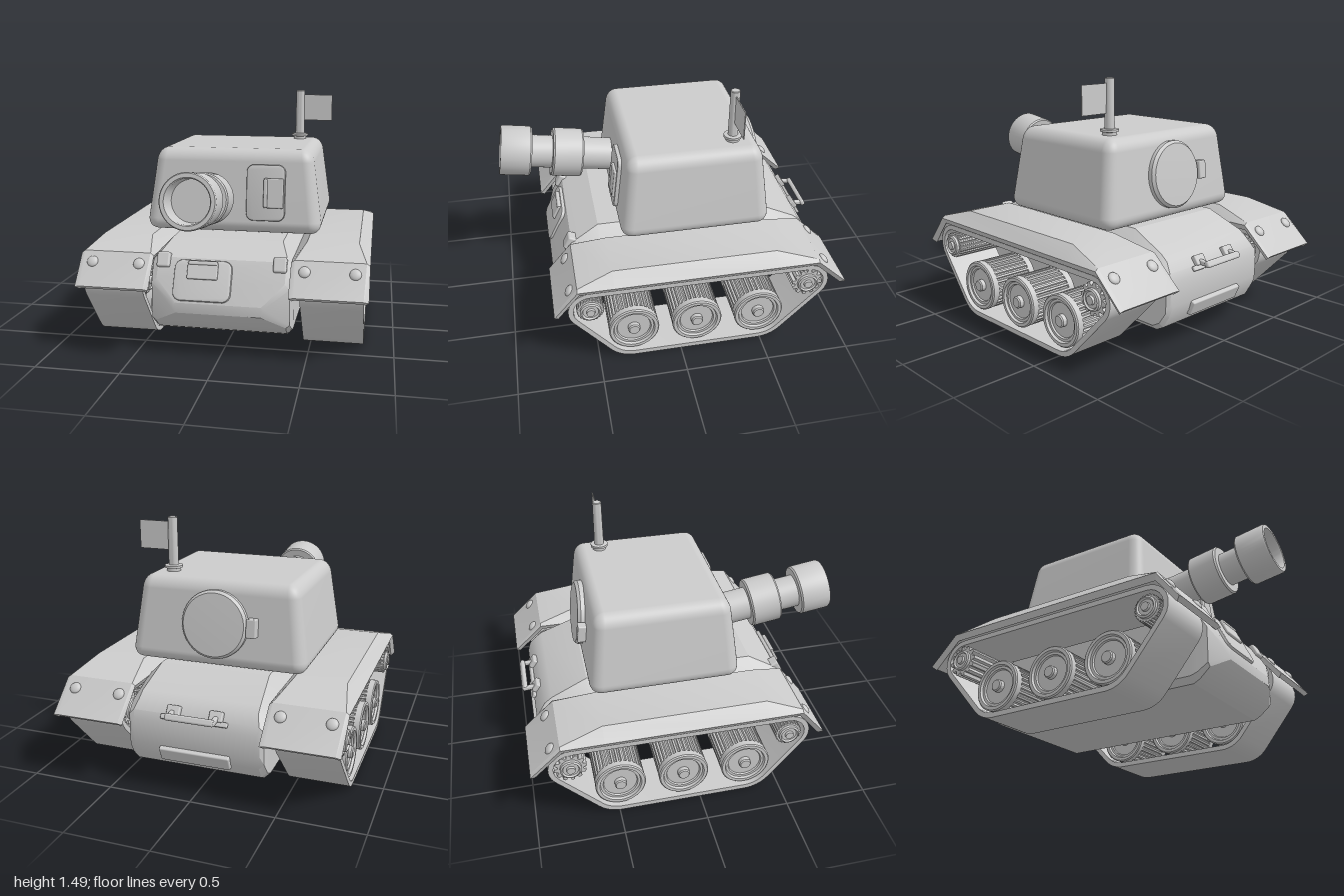
import * as THREE from 'three';
import { toCreasedNormals, mergeVertices } from 'three/addons/utils/BufferGeometryUtils.js';
import { RoundedBoxGeometry } from 'three/addons/geometries/RoundedBoxGeometry.js';

const grey = new THREE.MeshStandardMaterial({ color: 0xcccccc });
const thin = new THREE.MeshStandardMaterial({ color: 0xcccccc, side: THREE.DoubleSide });
const V2 = (x, y) => new THREE.Vector2(x, y);

function add(parent, name, geo, pos = [0, 0, 0], rot = [0, 0, 0], mat = grey) {
  const m = new THREE.Mesh(geo, mat);
  m.name = name;
  m.position.set(...pos);
  m.rotation.set(...rot);
  parent.add(m);
  return m;
}
const box = (w, h, d, r = 0.008) => new RoundedBoxGeometry(w, h, d, 2, r);
const lathe = (pts, n = 40) => toCreasedNormals(new THREE.LatheGeometry(pts.map(p => V2(...p)), n), 0.6);

// Skin over rings of eight corners, listed from front to back, with closed ends
function loft(rings) {
  const pos = rings.flat(2), idx = [], last = (rings.length - 1) * 8;
  for (let k = 0; k < rings.length - 1; k++) {
    for (let i = 0; i < 8; i++) {
      const a = k * 8 + i, b = k * 8 + (i + 1) % 8;
      idx.push(a, a + 8, b, b, a + 8, b + 8);
    }
  }
  for (let i = 0; i < 3; i++) {
    const [a, b, c, d] = [i, i + 1, 6 - i, 7 - i];
    idx.push(a, b, c, a, c, d);
    idx.push(last + a, last + c, last + b, last + a, last + d, last + c);
  }
  const g = new THREE.BufferGeometry();
  g.setAttribute('position', new THREE.Float32BufferAttribute(pos, 3));
  g.setIndex(idx);
  return toCreasedNormals(g, 0.4);
}

// Extrude a side-on (z, y) shape across x, centred on x = 0
function across(shape, width) {
  const g = new THREE.ExtrudeGeometry(shape, { depth: width, bevelEnabled: false });
  g.translate(0, 0, -width / 2);
  g.rotateY(-Math.PI / 2);
  return toCreasedNormals(g, 0.5);
}

function gearShape(teeth, r1, r2) {
  const pts = [];
  for (let i = 0; i < teeth; i++) {
    [[0, r1], [0.4, r1], [0.55, r2], [0.85, r2]].forEach(([f, r]) => {
      const a = (i + f) / teeth * Math.PI * 2;
      pts.push(V2(r * Math.cos(a), r * Math.sin(a)));
    });
  }
  return new THREE.Shape(pts);
}

// Rounded plate with a bevelled edge, lying in xy and facing +z
function plate(w, h, d, r) {
  const s = new THREE.Shape(), x = w / 2 - 0.01, y = h / 2 - 0.01;
  s.absarc(x - r, y - r, r, 0, Math.PI / 2);
  s.absarc(-x + r, y - r, r, Math.PI / 2, Math.PI);
  s.absarc(-x + r, -y + r, r, Math.PI, Math.PI * 1.5);
  s.absarc(x - r, -y + r, r, Math.PI * 1.5, Math.PI * 2);
  return toCreasedNormals(new THREE.ExtrudeGeometry(s, {
    depth: d, bevelSize: 0.01, bevelThickness: 0.01, bevelSegments: 2, curveSegments: 6 }), 0.5);
}

// Closed belt line around four circles [z, y, radius]
const circles = [[-0.485, 0.19, 0.19], [0.285, 0.19, 0.19], [0.54, 0.405, 0.13], [-0.77, 0.405, 0.13]];
function beltLine(inset) {
  const n = circles.map((c, i) => {
    const e = circles[(i + 1) % 4], dz = e[0] - c[0], dy = e[1] - c[1];
    return Math.atan2(dy, dz) - Math.acos((c[2] - e[2]) / Math.hypot(dz, dy));
  });
  return circles.flatMap(([z, y, r], i) => {
    const a0 = n[(i + 3) % 4];
    let a1 = n[i];
    while (a1 < a0) a1 += Math.PI * 2;
    while (a1 - a0 > Math.PI * 2) a1 -= Math.PI * 2;
    return Array.from({ length: 9 }, (_, k) => {
      const a = a0 + (a1 - a0) * k / 8;
      return V2(z + (r - inset) * Math.cos(a), y + (r - inset) * Math.sin(a));
    });
  });
}

// Wheel with the same face on both ends
function disc(half) {
  const g = lathe([...half.map(([r, y]) => [r, -y]).reverse(), ...half]);
  g.rotateZ(-Math.PI / 2);
  return g;
}

function trackSide(name, x) {
  const side = new THREE.Group();
  side.name = name;
  side.position.x = x;
  // Belt
  const belt = new THREE.Shape(beltLine(0));
  belt.holes.push(new THREE.Path(beltLine(0.03)));
  add(side, 'trackBelt', across(belt, 0.36));
  // Road wheels on fluted rollers
  const face = disc([[0.12, 0.12], [0.15, 0.12], [0.152, 0.158], [0.145, 0.165], [0.126, 0.165], [0.12, 0.15],
    [0.105, 0.15], [0.1, 0.14], [0.036, 0.14], [0.036, 0.165], [0.03, 0.172], [0, 0.172]]);
  const roller = across(gearShape(32, 0.15, 0.138), 0.25);
  for (const z of [0.285, -0.1, -0.485]) {
    add(side, 'roadWheel', face, [0, 0.195, z]);
    add(side, 'wheelRoller', roller, [0, 0.195, z]);
  }
  // Idler and drive sprocket
  const hub = disc([[0.062, 0], [0.062, 0.192], [0.052, 0.198], [0.045, 0.188], [0.026, 0.188], [0.024, 0.202], [0, 0.202]]);
  for (const [label, z, teeth, r1, r2] of [['idler', 0.54, 24, 0.08, 0.073], ['sprocket', -0.77, 12, 0.094, 0.075]]) {
    add(side, label, across(gearShape(teeth, r1, r2), 0.35), [0, 0.405, z]);
    add(side, label + 'Hub', hub, [0, 0.405, z]);
  }
  // Fender: a thin chamfered sheet with plates sloping down at both ends
  const w = 0.222, t = 0.02;
  const rings = [
    [0.75, 0.405, 0.41, 0.03, 0.725, 0.02], [0.61, 0.575, 0.59, 0.02, 0.6, 0.035],
    [0.4, 0.575, 0.65, 0.07, 0.4, 0.035], [-0.57, 0.575, 0.65, 0.07, -0.57, 0.035],
    [-0.82, 0.575, 0.588, 0.02, -0.81, 0.035], [-1, 0.405, 0.41, 0.03, -0.975, 0.02],
  ].map(([z, ys, yt, c, zi, d]) => [
    [w, ys, z], [w - c, yt, z], [c - w, yt, z], [-w, ys, z],
    [t - w, ys - d, zi], [c - w, yt - d, zi], [w - c, yt - d, zi], [w - t, ys - d, zi]]);
  const off = -Math.sign(x) * 0.014;
  add(side, 'fender', loft(rings), [off, 0, 0]);
  // Fender bolts
  for (const [z, rot] of [[0.652, -0.66], [-0.875, 0.76]]) {
    for (const s of [-1, 1]) {
      add(side, 'fenderBolt', new THREE.SphereGeometry(0.034, 16, 10), [off + s * 0.142, 0.535, z], [rot, 0, 0]).scale.z = 0.5;
    }
  }
  return side;
}

export function createModel() {
  const model = new THREE.Group();
  model.name = 'tank';
  model.add(trackSide('leftTrack', 0.64), trackSide('rightTrack', -0.64));

  // Hull: [z, bottom, top, half width, top chamfer, bottom chamfer]
  add(model, 'hull', loft([
    [0.725, 0.275, 0.335, 0.26, 0.01, 0.01], [0.665, 0.2, 0.46, 0.405, 0.03, 0.02],
    [0.6, 0.145, 0.57, 0.412, 0.035, 0.03], [0.56, 0.125, 0.59, 0.415, 0.04, 0.035],
    [0.43, 0.125, 0.65, 0.415, 0.08, 0.035], [-0.6, 0.125, 0.655, 0.415, 0.08, 0.035],
    [-0.82, 0.125, 0.56, 0.415, 0.06, 0.035], [-0.865, 0.15, 0.525, 0.412, 0.055, 0.035],
    [-0.905, 0.22, 0.47, 0.405, 0.03, 0.03], [-0.922, 0.28, 0.42, 0.385, 0.02, 0.02],
  ].map(([z, b, t, w, c, e]) => [
    [w, t - c, z], [w - c, t, z], [c - w, t, z], [-w, t - c, z],
    [-w, b + e, z], [e - w, b, z], [w - e, b, z], [w, b + e, z]])));

  // Front hull panel with latch, and towing lugs
  const panel = new THREE.Group();
  panel.name = 'hullPanel';
  panel.position.set(-0.1, 0.452, 0.662);
  panel.rotation.x = -0.46;
  add(panel, 'panelPlate', plate(0.34, 0.24, 0.012, 0.04));
  add(panel, 'panelLatch', box(0.18, 0.1, 0.02), [0, 0.055, 0.028]);
  add(panel, 'latchHinge', box(0.17, 0.025, 0.035), [0, 0.1, 0.025]);
  model.add(panel);
  for (const s of [-1, 1]) add(model, 'frontLug', box(0.078, 0.09, 0.06, 0.012), [s * 0.342, 0.553, 0.605], [-0.46, 0, 0]);

  // Rear handle and lower bar
  add(model, 'handleStrip', box(0.4, 0.03, 0.02), [0, 0.46, -0.92], [0.6, 0, 0]);
  for (const s of [-1, 1]) {
    add(model, 'handleFoot', box(0.08, 0.06, 0.045), [s * 0.127, 0.49, -0.895], [0.6, 0, 0]);
    add(model, 'handleArm', box(0.028, 0.028, 0.09), [s * 0.13, 0.485, -0.94], [-0.1, 0, 0]);
  }
  add(model, 'handleBar', box(0.29, 0.04, 0.03, 0.012), [0.005, 0.485, -0.972], [0.5, 0, 0]);
  add(model, 'rearBar', box(0.42, 0.09, 0.05), [0, 0.235, -0.905], [-0.4, 0, 0]);

  // Turret: rounded box tapering upward
  const shell = new RoundedBoxGeometry(1.1, 0.51, 0.92, 5, 0.075);
  const p = shell.attributes.position;
  for (let i = 0; i < p.count; i++) {
    const k = 1 - 0.13 * (p.getY(i) + 0.255) / 0.51;
    p.setXYZ(i, p.getX(i) * k, p.getY(i), p.getZ(i) * k);
  }
  shell.deleteAttribute('normal');
  shell.deleteAttribute('uv');
  const turret = mergeVertices(shell, 1e-4);
  turret.computeVertexNormals();
  add(model, 'turret', turret, [0, 0.913, -0.145]);

  // Turret front hatch
  const hatch = new THREE.Group();
  hatch.name = 'frontHatch';
  hatch.position.set(0.208, 0.91, 0.28);
  hatch.rotation.x = -0.117;
  add(hatch, 'hatchPlate', plate(0.235, 0.34, 0.02, 0.035));
  add(hatch, 'hatchCover', box(0.12, 0.18, 0.02), [0.05, 0, 0.035]);
  add(hatch, 'hatchHandle', box(0.025, 0.17, 0.03), [0.002, 0, 0.038]);
  model.add(hatch);

  // Round rear hatch with hinge
  const rear = new THREE.Group();
  rear.name = 'rearHatch';
  rear.position.set(0, 0.915, -0.555);
  rear.rotation.x = 0.117;
  add(rear, 'rearHatchDisc', lathe([[0.2, -0.03], [0.2, 0.045], [0.185, 0.062], [0, 0.068]], 48), [0, 0, 0], [-Math.PI / 2, 0, 0]);
  add(rear, 'rearHatchHinge', box(0.06, 0.11, 0.06), [-0.228, 0, -0.04]);
  model.add(rear);

  // Gun barrel with sleeve and open muzzle, raised slightly
  add(model, 'gunBarrel', lathe([[0, -0.82], [0.102, -0.82], [0.102, -0.51], [0.145, -0.51], [0.153, -0.5],
    [0.153, -0.33], [0.145, -0.32], [0.102, -0.32], [0.102, -0.19], [0.148, -0.19], [0.156, -0.18],
    [0.156, -0.01], [0.15, 0], [0.128, 0], [0.122, -0.01], [0.118, -0.12], [0, -0.12]], 48),
  [-0.105, 0.98, 0.975], [Math.PI / 2 - 0.155, 0, 0]);

  // Antenna pole and flag
  add(model, 'antennaPole', lathe([[0.042, 1.15], [0.042, 1.185], [0.054, 1.188], [0.054, 1.202], [0.03, 1.205],
    [0.028, 1.488], [0.024, 1.492], [0, 1.492]], 24), [0.337, 0, -0.393]);
  add(model, 'flag', new THREE.BoxGeometry(0.19, 0.17, 0.006), [0.455, 1.377, -0.393], [0, 0, 0], thin);

  return model;
}
